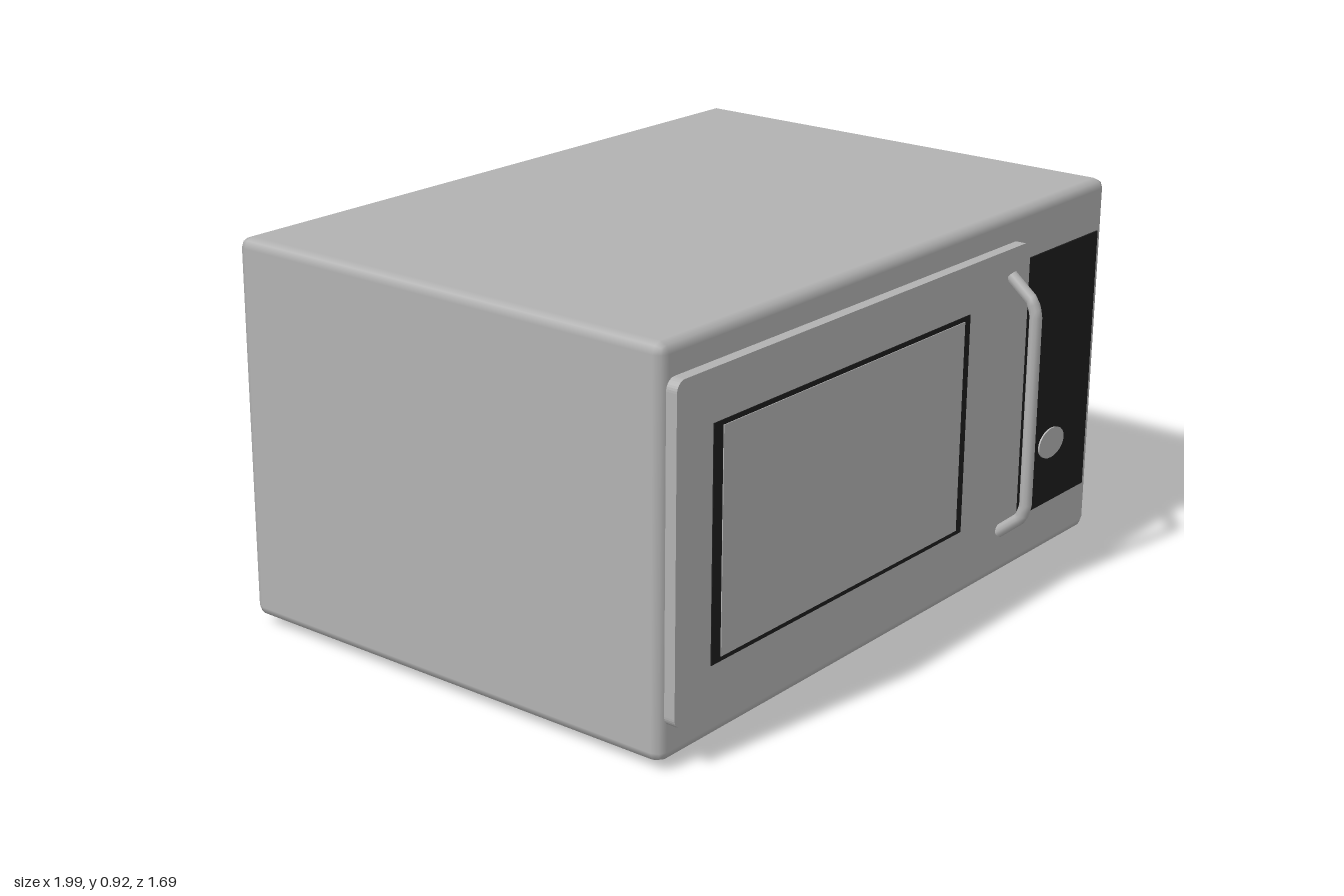
import * as THREE from 'three';
import { RoundedBoxGeometry } from 'three/addons/geometries/RoundedBoxGeometry.js';

const casingGrey = new THREE.MeshStandardMaterial({ name: 'casingGrey', color: 0xb2b2b2 });
const panelBlack = new THREE.MeshStandardMaterial({ name: 'panelBlack', color: 0x1d1d1d });

const W = 1.7, H = 0.9, D = 1.195;
const FRONT = D / 2;

export function createModel() {
  const model = new THREE.Group();
  model.name = 'microwaveOven';
  const oven = new THREE.Group();
  oven.name = 'oven';
  model.add(oven);

  const add = (name, geometry, material, x, y, z) => {
    const mesh = new THREE.Mesh(geometry, material);
    mesh.name = name;
    mesh.position.set(x, y, z);
    oven.add(mesh);
    return mesh;
  };
  // thin plate given by its left and right edges, height and front face
  const plate = (name, material, x0, x1, y, h, front, t = 0.008) =>
    add(name, new THREE.BoxGeometry(x1 - x0, h, t), material, (x0 + x1) / 2, y, front - t / 2);

  // casing with small bevelled edges
  add('casing', new RoundedBoxGeometry(W, H, D, 1, 0.024), casingGrey, 0, 0, 0);

  // door slab with rounded corners
  const w = 1.30 / 2, h = 0.745 / 2, r = 0.025;
  const outline = new THREE.Shape();
  outline.absarc(w - r, h - r, r, 0, Math.PI / 2);
  outline.absarc(-w + r, h - r, r, Math.PI / 2, Math.PI);
  outline.absarc(-w + r, -h + r, r, Math.PI, Math.PI * 1.5);
  outline.absarc(w - r, -h + r, r, Math.PI * 1.5, Math.PI * 2);
  outline.closePath();
  const doorDepth = 0.027;
  add('door', new THREE.ExtrudeGeometry(outline, { depth: doorDepth, bevelEnabled: false, curveSegments: 4 }),
    casingGrey, -0.186, 0.006, FRONT);
  const doorFront = FRONT + doorDepth;

  // window: dark surround with a grey pane
  plate('windowFrame', panelBlack, -0.72, 0.214, 0, 0.525, doorFront + 0.002);
  plate('windowPane', casingGrey, -0.69, 0.19, 0, 0.503, doorFront + 0.004);

  // bowed door handle
  const path = new THREE.CurvePath();
  const p = [[0.315, 0], [0.265, 0.06], [0.235, 0.07], [-0.235, 0.07], [-0.265, 0.06], [-0.315, 0]]
    .map(([y, z]) => new THREE.Vector3(0, y, z));
  for (let i = 0; i < p.length - 1; i++) path.add(new THREE.LineCurve3(p[i], p[i + 1]));
  add('handle', new THREE.TubeGeometry(path, 48, 0.015, 10), casingGrey, 0.385, 0, doorFront);

  // control panel and its oval button
  plate('controlPanel', panelBlack, 0.498, 0.815, 0, 0.65, FRONT + 0.004);
  const button = add('button', new THREE.CylinderGeometry(1, 1, 0.006, 24), casingGrey, 0.646, -0.17, FRONT + 0.005);
  button.rotation.x = Math.PI / 2;
  button.scale.set(0.057, 1, 0.038);

  // the oven stands turned, with a very slight lean
  oven.rotation.set(0.004, 0.325, -0.01, 'YXZ');
  oven.position.set(0, 0.462, -0.015);
  return model;
}
